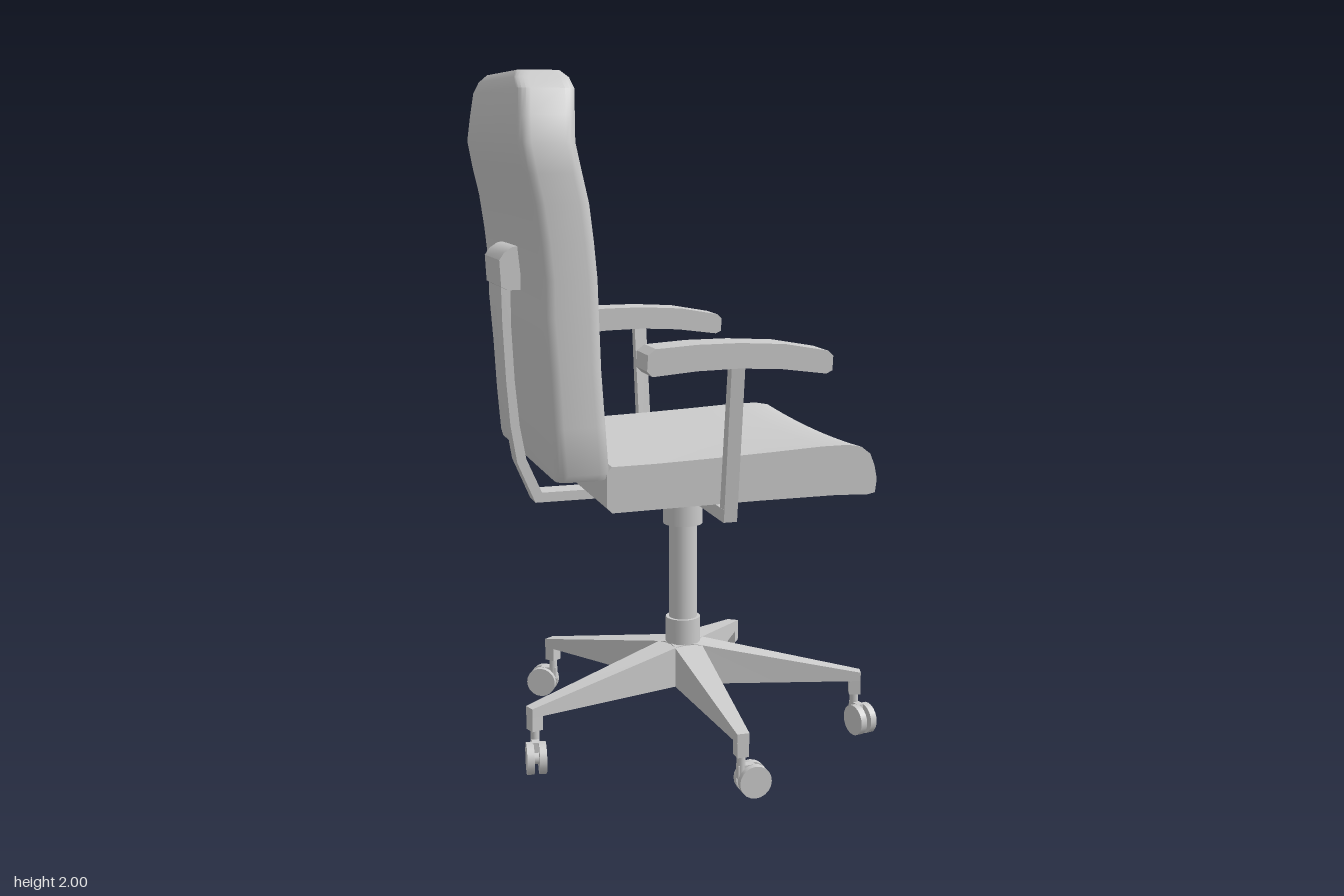
import * as THREE from 'three';
import { toCreasedNormals } from 'three/addons/utils/BufferGeometryUtils.js';

const material = new THREE.MeshStandardMaterial({ color: 0xcccccc });

function add(parent, name, geometry, x = 0, y = 0, z = 0) {
  const mesh = new THREE.Mesh(geometry, material);
  mesh.name = name;
  mesh.position.set(x, y, z);
  parent.add(mesh);
  return mesh;
}

// Skin a closed solid over a list of equal-length rings.
function loft(rings, crease = 0.6) {
  const n = rings[0].length, pos = [], index = [];
  rings.forEach(ring => ring.forEach(p => pos.push(...p)));
  for (let i = 0; i < rings.length - 1; i++) {
    for (let j = 0; j < n; j++) {
      const a = i * n + j, b = i * n + (j + 1) % n;
      index.push(a, b, b + n, a, b + n, a + n);
    }
  }
  [0, rings.length - 1].forEach(r => {
    const centre = [0, 1, 2].map(k => rings[r].reduce((s, p) => s + p[k], 0) / n);
    const c = pos.length / 3;
    pos.push(...centre);
    for (let j = 0; j < n; j++) {
      const a = r * n + j, b = r * n + (j + 1) % n;
      if (r === 0) index.push(c, b, a); else index.push(c, a, b);
    }
  });
  const g = new THREE.BufferGeometry();
  g.setAttribute('position', new THREE.Float32BufferAttribute(pos, 3));
  g.setIndex(index);
  return toCreasedNormals(g, crease);
}

// Side profile in x, y given a width in z, centred on z = 0.
function slab(points, width) {
  const shape = new THREE.Shape(points.map(p => new THREE.Vector2(...p)));
  const g = new THREE.ExtrudeGeometry(shape, { depth: width, bevelEnabled: false });
  g.translate(0, 0, -width / 2);
  return toCreasedNormals(g, 0.5);
}

function cylinder(radius, y0, y1) {
  return new THREE.CylinderGeometry(radius, radius, y1 - y0, 24).translate(0, (y0 + y1) / 2, 0);
}

function seatGeometry() {
  const profile = [[-0.32, 0.805], [0.1, 0.81], [0.35, 0.81], [0.45, 0.805], [0.475, 0.81], [0.48, 0.85],
    [0.472, 0.89], [0.458, 0.925], [0.43, 0.947], [0.38, 0.955], [0.3, 0.955], [0.15, 0.948],
    [0, 0.942], [-0.2, 0.936], [-0.32, 0.935], [-0.335, 0.92], [-0.335, 0.82]];
  const rings = [];
  for (let i = 0; i <= 12; i++) {
    const t = i / 6 - 1;
    // gentle hollow across the width, deepest at the front
    rings.push(profile.map(([x, y]) =>
      [x - 0.008 * t * t * (x > 0.4 ? 1 : 0), y - 0.018 * (1 - t * t) * Math.max(0, (x + 0.1) / 0.58) * (y > 0.83 ? 1 : 0.3), t * 0.38]));
  }
  return loft(rings);
}

function backGeometry() {
  // height, rear x, front x, half width
  const levels = [[0.9, -0.475, -0.332, 0.385], [0.92, -0.479, -0.326, 0.395], [1.05, -0.489, -0.335, 0.397],
    [1.2, -0.497, -0.345, 0.397], [1.35, -0.508, -0.35, 0.397], [1.45, -0.508, -0.353, 0.397],
    [1.55, -0.518, -0.362, 0.397], [1.65, -0.532, -0.374, 0.397], [1.73, -0.55, -0.392, 0.397],
    [1.81, -0.565, -0.409, 0.395], [1.88, -0.56, -0.403, 0.369], [1.95, -0.553, -0.397, 0.342],
    [1.98, -0.547, -0.397, 0.285], [2, -0.53, -0.412, 0.24]];
  return loft(levels.map(([y, rear, front, half]) => {
    const r = 0.032, ring = [];
    [[1, 1], [-1, 1], [-1, -1], [1, -1]].forEach(([sx, sz], q) => {
      for (let k = 0; k <= 4; k++) {
        const a = (q + k / 4) * Math.PI / 2;
        const cx = sx > 0 ? front - r : rear + r;
        ring.push([cx + r * Math.cos(a), y, -(sz * (half - r) + r * Math.sin(a))]);
      }
    });
    return ring;
  }), 0.75);
}

// Twin-wheel caster that trails along +x from its stem.
function makeCaster() {
  const caster = new THREE.Group();
  caster.name = 'caster';
  add(caster, 'casterStem', new THREE.CylinderGeometry(0.013, 0.013, 0.07, 12), 0, 0.105, 0);
  add(caster, 'casterBody', new THREE.BoxGeometry(0.05, 0.04, 0.022), 0.014, 0.075, 0);
  const wheel = new THREE.CylinderGeometry(0.047, 0.047, 0.021, 20).rotateX(Math.PI / 2);
  [-1, 1].forEach(s => add(caster, 'casterWheel', wheel, 0.035, 0.048, s * 0.018));
  add(caster, 'casterAxle', new THREE.CylinderGeometry(0.018, 0.018, 0.03, 12).rotateX(Math.PI / 2), 0.035, 0.048, 0);
  return caster;
}

function makeBase() {
  const base = new THREE.Group();
  base.name = 'base';
  add(base, 'hub', cylinder(0.053, 0.27, 0.37));
  add(base, 'column', cylinder(0.043, 0.36, 0.68));
  add(base, 'columnCollar', cylinder(0.06, 0.665, 0.77));
  // cross-sections of one leg: radius, bottom, top, half width
  const leg = loft([[0, 0.165, 0.297, 0.048], [0.05, 0.165, 0.29, 0.044], [0.55, 0.165, 0.192, 0.018]].map(
    ([x, lo, hi, w]) => [[x, lo, w], [x, lo, -w], [x, hi, -w], [x, hi, w]]), 0.1);
  const casterHeadings = [78, 0, 98, -152, 74];
  casterHeadings.forEach((heading, i) => {
    const angle = 18 + i * 72;
    const arm = new THREE.Group();
    arm.name = 'baseLeg';
    arm.rotation.y = -THREE.MathUtils.degToRad(angle);
    add(arm, 'legBeam', leg);
    add(arm, 'casterSocket', new THREE.BoxGeometry(0.035, 0.05, 0.035), 0.5325, 0.147, 0);
    const caster = makeCaster();
    caster.position.x = 0.532;
    caster.rotation.y = THREE.MathUtils.degToRad(angle - heading);
    arm.add(caster);
    base.add(arm);
  });
  return base;
}

export function createModel() {
  const model = new THREE.Group();
  model.name = 'officeChair';
  const chair = new THREE.Group();
  chair.name = 'chair';
  chair.position.z = -0.028;
  model.add(chair);

  const base = makeBase();
  base.position.x = 0.005;
  chair.add(base);

  add(chair, 'seat', seatGeometry());
  add(chair, 'backrest', backGeometry());

  // mounting plate under the seat
  add(chair, 'seatPlate', slab([[-0.13, 0.803], [-0.11, 0.765], [0.145, 0.765], [0.18, 0.803], [0.18, 0.812], [-0.13, 0.812]], 0.215));

  // bent strip carrying the backrest, with its pad
  add(chair, 'backSupport', slab([[-0.1, 0.768], [-0.46, 0.768], [-0.512, 0.89], [-0.53, 1], [-0.54, 1.13], [-0.548, 1.3], [-0.55, 1.42],
    [-0.522, 1.42], [-0.523, 1.3], [-0.515, 1.13], [-0.503, 1], [-0.485, 0.9], [-0.44, 0.797], [-0.1, 0.797]], 0.075));
  add(chair, 'backSupportPad', slab([[-0.505, 1.4], [-0.505, 1.525], [-0.53, 1.52], [-0.553, 1.505], [-0.567, 1.485], [-0.563, 1.41], [-0.545, 1.4]], 0.215));

  // armrests and their frame
  add(chair, 'armCrossbar', new THREE.BoxGeometry(0.04, 0.037, 0.855), 0.006, 0.785, 0);
  const pad = slab([[-0.26, 1.215], [-0.245, 1.2], [-0.12, 1.21], [0, 1.212], [0.12, 1.205], [0.25, 1.187], [0.268, 1.195],
    [0.27, 1.235], [0.255, 1.25], [0.13, 1.273], [0, 1.281], [-0.12, 1.281], [-0.235, 1.274], [-0.257, 1.258]], 0.107);
  [-1, 1].forEach(side => {
    const w = 0.0195, x = 0.006;
    const ring = (y, inner, outer) => {
      const [lo, hi] = side > 0 ? [inner, outer] : [-outer, -inner];
      return [[x + w, y, hi], [x + w, y, lo], [x - w, y, lo], [x - w, y, hi]];
    };
    add(chair, 'armUpright', loft([ring(0.767, 0.39, 0.43), ring(1.22, 0.458, 0.49)], 0.1));
    add(chair, 'armrest', pad, 0, 0, side * 0.464);
  });
  return model;
}
